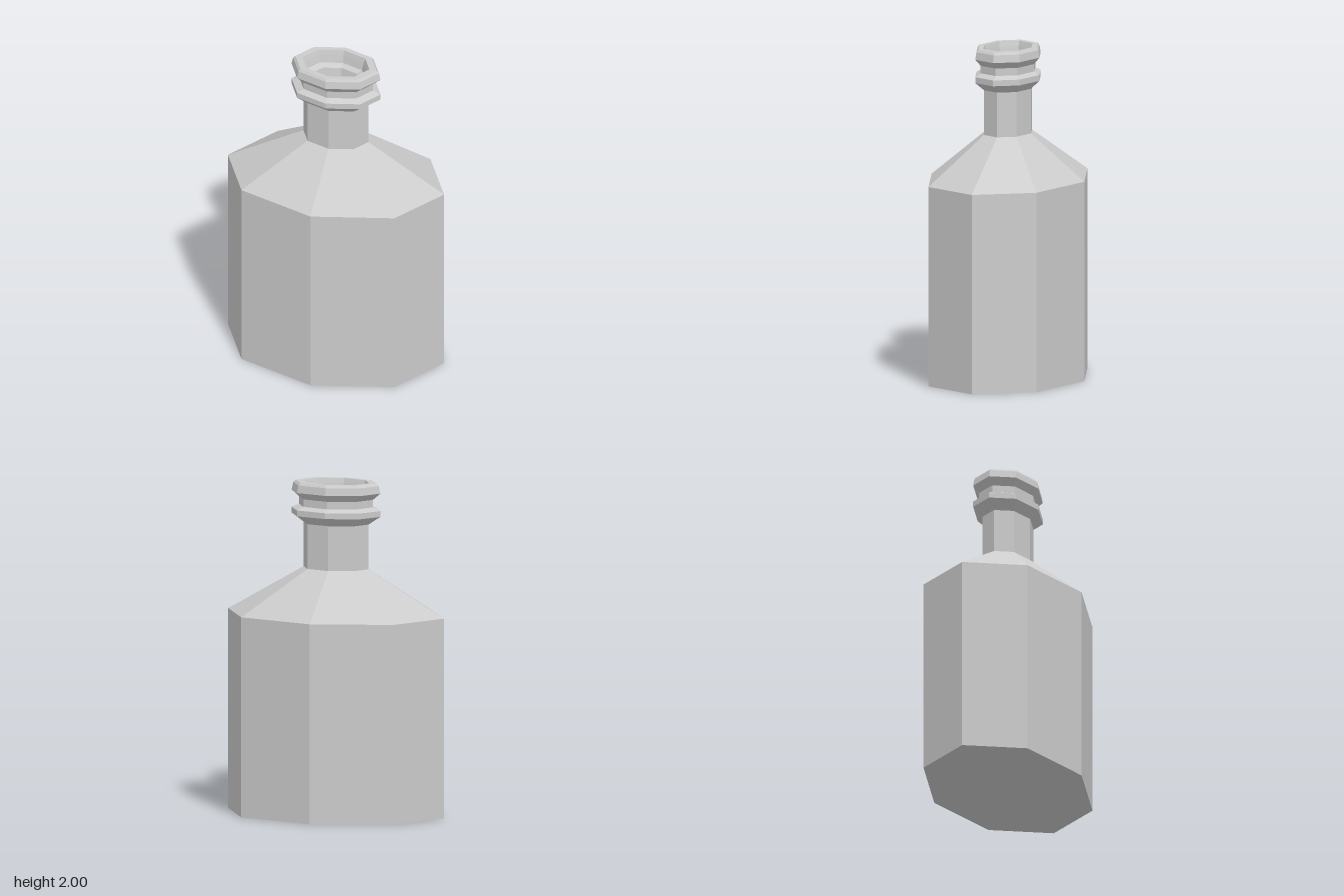
import * as THREE from 'three';

const SIDES = 8;
const DEPTH = 0.48 / 0.68; // oval footprint: z is narrower than x

// Eight-sided oval shell turned from a [radius, height] profile
function turned(name, profile) {
  const geometry = new THREE.LatheGeometry(profile.map(([r, y]) => new THREE.Vector2(r, y)), SIDES);
  geometry.scale(1, 1, DEPTH);
  const material = new THREE.MeshStandardMaterial({ color: 0xcccccc, flatShading: true });
  const mesh = new THREE.Mesh(geometry, material);
  mesh.name = name;
  return mesh;
}

export function createModel() {
  const bottle = new THREE.Group();
  bottle.name = 'bottle';
  bottle.add(
    // Closed base, straight walls and sloping shoulder
    turned('body', [[0, 0], [0.68, 0], [0.68, 1.205], [0.205, 1.48]]),
    turned('neck', [[0.205, 1.48], [0.205, 1.75]]),
    // Lower collar ring, flared underneath
    turned('collar', [[0.205, 1.75], [0.28, 1.8], [0.28, 1.835], [0.233, 1.855]]),
    turned('groove', [[0.233, 1.855], [0.233, 1.9]]),
    // Top lip
    turned('lip', [[0.233, 1.9], [0.28, 1.94], [0.27, 1.985], [0.255, 2], [0.21, 2]]),
    // Stepped, tapering mouth closed by a floor
    turned('mouth', [[0.21, 2], [0.2, 1.97], [0.187, 1.92], [0.15, 1.9], [0.12, 1.75], [0, 1.75]]),
  );
  return bottle;
}
